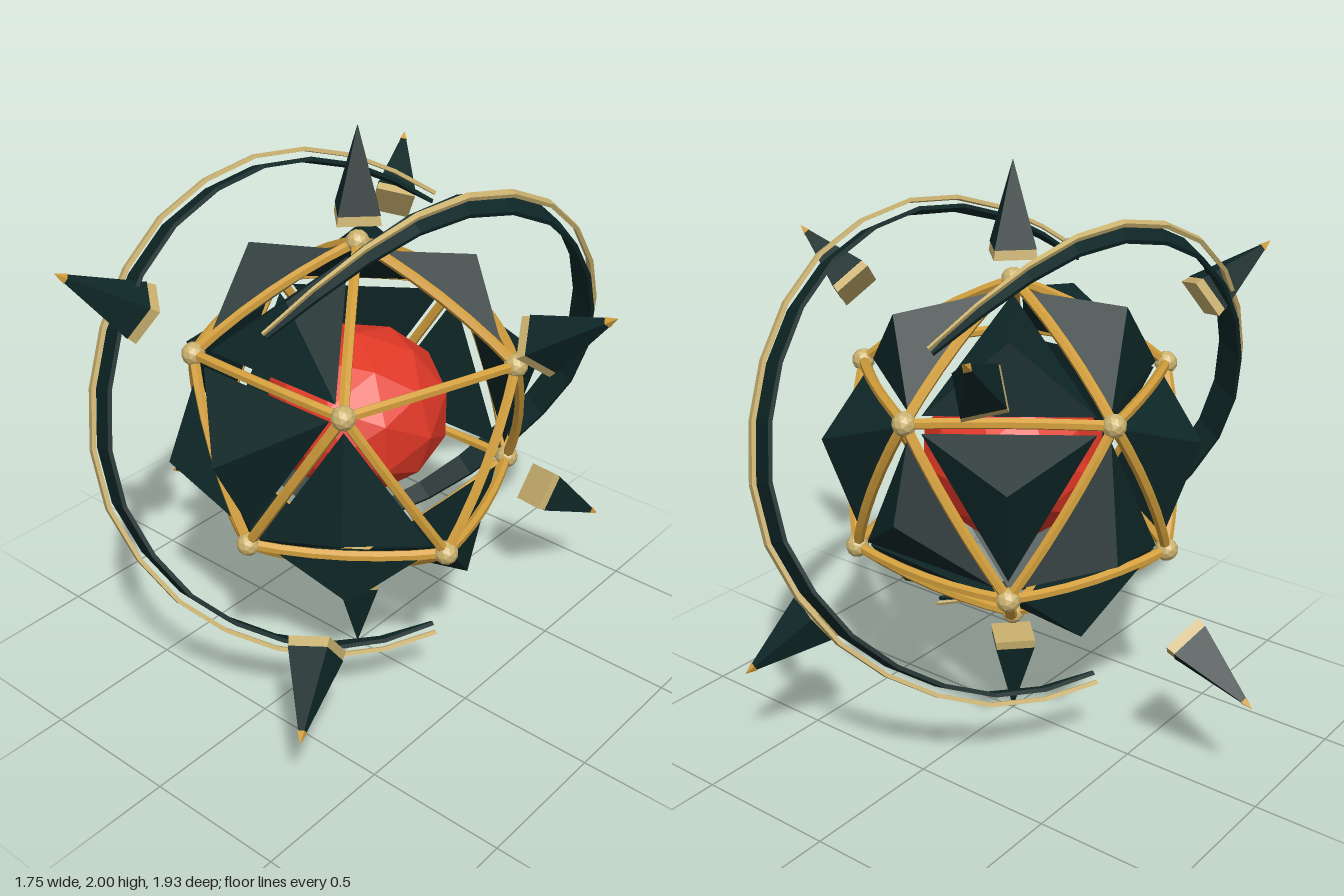
import * as THREE from 'three';
import { ConvexGeometry } from 'three/addons/geometries/ConvexGeometry.js';

const V = (x, y, z) => new THREE.Vector3(x, y, z);
const mat = (name, color, extra = {}) => new THREE.MeshStandardMaterial({ name, color, flatShading: true, ...extra });

export function createModel() {
  const dark = mat('dark green', 0x0f2727);
  const darkBand = mat('dark green', 0x0f2727, { side: THREE.DoubleSide });
  const gold = mat('gold', 0xd39f3c);
  const pale = mat('pale gold', 0xcbb270);
  const paleBand = mat('pale gold', 0xcbb270, { side: THREE.DoubleSide });
  const red = mat('red', 0xe03826);

  const model = new THREE.Group();
  model.name = 'shardSphere';
  const body = new THREE.Group(); // everything is laid out around the core
  body.name = 'body';
  body.position.y = 1;
  model.add(body);

  const add = (parent, name, geo, material) => {
    const m = new THREE.Mesh(geo, material);
    m.name = name;
    parent.add(m);
    return m;
  };

  // Glowing core
  add(body, 'core', new THREE.IcosahedronGeometry(0.315, 1), red).scale.set(1.02, 0.9, 1);

  // Cage corners: two poles and two staggered rings of five
  const R = 0.61;
  const ring = (offset, y) => Array.from({ length: 5 }, (_, i) => {
    const a = THREE.MathUtils.degToRad(offset + 72 * i);
    return V(R * 0.894 * Math.cos(a), y, R * 0.894 * Math.sin(a));
  });
  const top = V(0, R, 0), bottom = V(0, -R, 0);
  const up = ring(0, R * 0.447), low = ring(36, -R * 0.447);

  for (const p of [top, bottom, ...up, ...low]) {
    add(body, 'cageHub', new THREE.IcosahedronGeometry(0.04, 1), pale).position.copy(p);
  }

  // Slightly bowed cage bars and the list of panel faces
  const edges = [], faces = [];
  for (let i = 0; i < 5; i++) {
    const j = (i + 1) % 5;
    edges.push([top, up[i]], [up[i], up[j]], [up[i], low[i]], [up[j], low[i]], [low[i], low[j]], [bottom, low[i]]);
    if (i !== 1) faces.push([top, up[i], up[j]], [up[i], up[j], low[i]]); // open front
    if (i !== 0) faces.push([up[j], low[i], low[j]]);
    if (i !== 4) faces.push([bottom, low[i], low[j]]); // open underside
  }
  for (const [a, b] of edges) {
    const control = a.clone().add(b).multiplyScalar(0.5 * 1.1);
    const curve = new THREE.QuadraticBezierCurve3(a, control, b);
    add(body, 'cageBar', new THREE.TubeGeometry(curve, 6, 0.018, 6), gold);
  }

  // Pyramid panels; some peaks lean off centre
  const leaning = [
    V(-0.685, 0.08, 0), V(0.61, -0.05, 0), V(0.25, -0.15, -0.6),
    V(-0.34, 0.52, 0), V(-0.13, 0.55, -0.36), V(0.12, -0.56, 0.4),
  ];
  for (const f of faces) {
    const c = V(0, 0, 0).add(f[0]).add(f[1]).add(f[2]).divideScalar(3);
    const peak = leaning.find((p) => p.angleTo(c) < 0.24) || c.clone().setLength(0.66);
    const base = f.map((p) => c.clone().lerp(p, 0.84));
    add(body, 'panel', new ConvexGeometry([...base, peak]), dark);
  }

  // Floating four-sided spikes pointing outward
  const spike = (dir, baseRadius, tipped) => {
    const g = new THREE.Group();
    g.name = 'spike';
    g.quaternion.setFromUnitVectors(V(0, 1, 0), dir.clone().normalize());
    add(g, 'spikeBase', new THREE.CylinderGeometry(0.093, 0.1, 0.032, 4), pale).position.y = baseRadius + 0.016;
    const blade = tipped
      ? new THREE.CylinderGeometry(0.011, 0.096, 0.26, 4)
      : new THREE.ConeGeometry(0.096, 0.278, 4);
    add(g, 'spikeBlade', blade, dark).position.y = baseRadius + 0.032 + (tipped ? 0.13 : 0.139);
    if (tipped) add(g, 'spikeTip', new THREE.ConeGeometry(0.017, 0.04, 4), gold).position.y = baseRadius + 0.302;
    body.add(g);
  };
  spike(V(0, 1, 0), 0.69, false);
  spike(V(0, -1, 0), 0.69, false);
  for (let i = 0; i < 6; i++) {
    const a = (i * Math.PI) / 3;
    spike(V(0.965 * Math.sin(a), i % 2 ? -0.645 : 0.645, 0.965 * Math.cos(a)), 0.838, true);
  }

  // Open tilted hoops: a tapering band with a thin trim floating outside it
  const path = new THREE.CatmullRomCurve3([
    V(-0.6, 0.56, 0.15), V(-0.33, 0.74, 0.26), V(0, 0.835, 0.35), V(0.3, 0.79, 0.41), V(0.55, 0.64, 0.44),
    V(0.77, 0.33, 0.42), V(0.87, -0.05, 0.32), V(0.79, -0.4, 0.12), V(0.58, -0.63, -0.07),
    V(0.32, -0.745, -0.25), V(0.05, -0.73, -0.4),
  ]);
  const axis = V(0.33, 0.37, -0.87).normalize();
  const hoopStrip = (scale, halfWidth, thickness, minTaper) => {
    const n = 18, pos = [], index = [];
    for (let i = 0; i <= n; i++) {
      const p = path.getPointAt(i / n);
      const out = p.clone().normalize();
      p.multiplyScalar(scale);
      const taper = Math.max(minTaper, Math.pow(Math.sin((Math.PI * i) / n), 0.6));
      for (const [w, t] of [[-1, -1], [1, -1], [1, 1], [-1, 1]]) {
        const q = p.clone().addScaledVector(axis, w * halfWidth * taper).addScaledVector(out, (t * thickness) / 2);
        pos.push(q.x, q.y, q.z);
      }
      if (i === n) break;
      for (let k = 0; k < 4; k++) {
        const a = i * 4 + k, b = i * 4 + ((k + 1) % 4);
        index.push(a, b, a + 4, b, b + 4, a + 4);
      }
    }
    const e = n * 4;
    index.push(0, 2, 1, 0, 3, 2, e, e + 1, e + 2, e, e + 2, e + 3);
    const indexed = new THREE.BufferGeometry();
    indexed.setAttribute('position', new THREE.Float32BufferAttribute(pos, 3));
    indexed.setIndex(index);
    const geo = indexed.toNonIndexed();
    geo.computeVertexNormals();
    return geo;
  };
  for (const turn of [0, Math.PI]) {
    const hoop = new THREE.Group();
    hoop.name = 'hoop';
    hoop.rotation.y = turn;
    add(hoop, 'hoopBand', hoopStrip(0.955, 0.06, 0.014, 0.08), darkBand);
    add(hoop, 'hoopTrim', hoopStrip(0.995, 0.015, 0.014, 0.3), paleBand);
    body.add(hoop);
  }

  return model;
}
